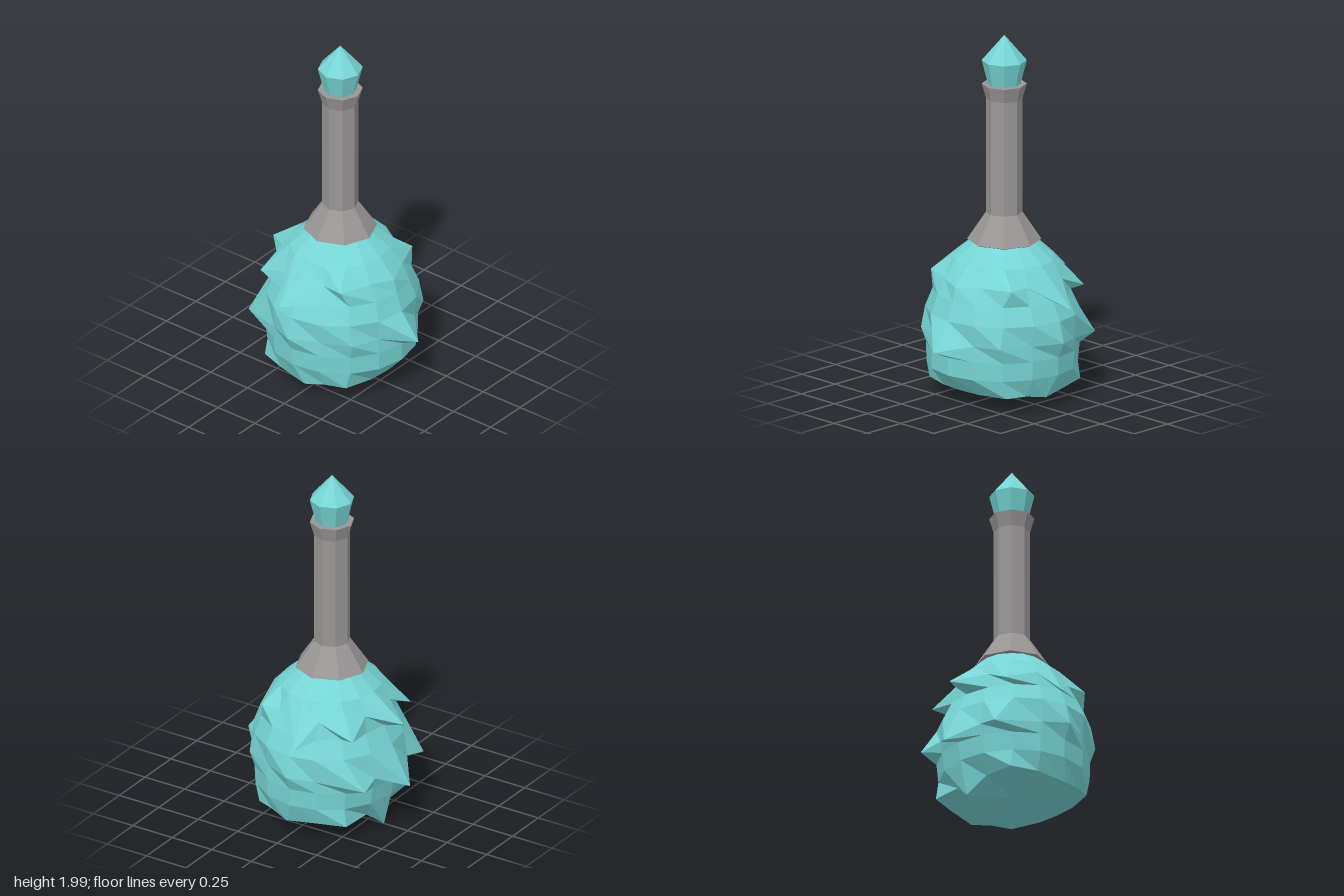
import * as THREE from 'three';

const AXIS_Z = -0.02; // the handle axis sits slightly behind the origin
const HALF = 8; // columns from front to back on one side

const featherMat = new THREE.MeshStandardMaterial({ color: 0x77d5d5, flatShading: true, side: THREE.DoubleSide });
const handleMat = new THREE.MeshStandardMaterial({ color: 0x999696, flatShading: true, side: THREE.DoubleSide });

// Even ring: the nine half-ring points from front to back
function roundRing(y, front, side = front, back = side) {
  return Array.from({ length: HALF + 1 }, (_, k) => {
    const a = (k / HALF) * Math.PI;
    const depth = Math.cos(a) > 0 ? front : back;
    return [side * Math.sin(a), y, AXIS_Z + depth * Math.cos(a)];
  });
}

// Mirror a half ring into a closed ring
const mirrorRing = (half) =>
  half.concat(half.slice(1, -1).reverse().map(([x, y, z]) => [-x, y, z]));

// Skin closed rings from top to bottom, closing both ends with a fan
function skin(halfRings) {
  const rings = halfRings.map(mirrorRing);
  const n = HALF * 2;
  const last = rings.length - 1;
  const positions = rings.flat(2);
  const index = [];
  for (let r = 0; r < last; r++) {
    for (let k = 0; k < n; k++) {
      const k2 = (k + 1) % n;
      const a = r * n + k, b = r * n + k2, c = a + n, d = b + n;
      index.push(a, c, d, a, d, b);
    }
  }
  const top = rings.length * n, bottom = top + 1;
  positions.push(0, rings[0][0][1], AXIS_Z, 0, rings[last][1][1], AXIS_Z);
  for (let k = 0; k < n; k++) {
    const k2 = (k + 1) % n;
    index.push(top, k, k2, bottom, last * n + k2, last * n + k);
  }
  const geo = new THREE.BufferGeometry();
  geo.setAttribute('position', new THREE.Float32BufferAttribute(positions, 3));
  geo.setIndex(index);
  const flat = geo.toNonIndexed();
  flat.computeVertexNormals();
  return flat;
}

// Eight-sided turned part
function turned(name, profile, material) {
  const geo = new THREE.LatheGeometry(profile.map(([r, y]) => new THREE.Vector2(r, y)), 8);
  const mesh = new THREE.Mesh(geo, material);
  mesh.name = name;
  mesh.position.z = AXIS_Z;
  return mesh;
}

export function createModel() {
  const group = new THREE.Group();
  group.name = 'featherDuster';

  // Pointed rims of the three feather tiers, front to back
  const upperRim = [
    [0, 0.675, 0.345], [0.14, 0.69, 0.29], [0.305, 0.69, 0.225], [0.3, 0.69, 0.11], [0.45, 0.56, -0.075],
    [0.315, 0.69, -0.14], [0.283, 0.61, -0.335], [0.12, 0.69, -0.31], [0, 0.635, -0.475],
  ];
  const middleRim = [
    [0, 0.35, 0.51], [0.155, 0.385, 0.36], [0.3, 0.385, 0.305], [0.375, 0.385, 0.14], [0.45, 0.385, -0.02],
    [0.385, 0.37, -0.16], [0.285, 0.335, -0.415], [0.155, 0.36, -0.395], [0, 0.28, -0.515],
  ];
  const lowerRim = [
    [0, 0.1, 0.31], [0.13, 0.1, 0.3], [0.29, 0.1, 0.25], [0.33, 0.1, 0.14], [0.365, 0.08, 0.03],
    [0.34, 0.1, -0.15], [0.29, 0.1, -0.3], [0.11, 0.1, -0.31], [0, 0.01, -0.35],
  ];

  // Feather head: each tier swells to its rim, then tucks in under it
  const head = new THREE.Mesh(skin([
    roundRing(0.87, 0.17),
    roundRing(0.78, 0.27, 0.28, 0.265),
    upperRim,
    roundRing(0.6, 0.385, 0.375, 0.33),
    roundRing(0.5, 0.42, 0.42, 0.38),
    middleRim,
    roundRing(0.3, 0.42, 0.41, 0.39),
    roundRing(0.2, 0.42, 0.405, 0.375),
    lowerRim,
  ]), featherMat);
  head.name = 'featherHead';
  group.add(head);

  // Handle with flared collar and lip
  group.add(turned('handle', [
    [0, 0.86], [0.175, 0.86], [0.197, 0.87], [0.097, 1.02], [0.097, 1.65], [0.12, 1.73], [0, 1.73],
  ], handleMat));

  // Faceted end knob
  group.add(turned('knob', [[0, 1.72], [0.085, 1.72], [0.12, 1.86], [0, 2]], featherMat));

  return group;
}
